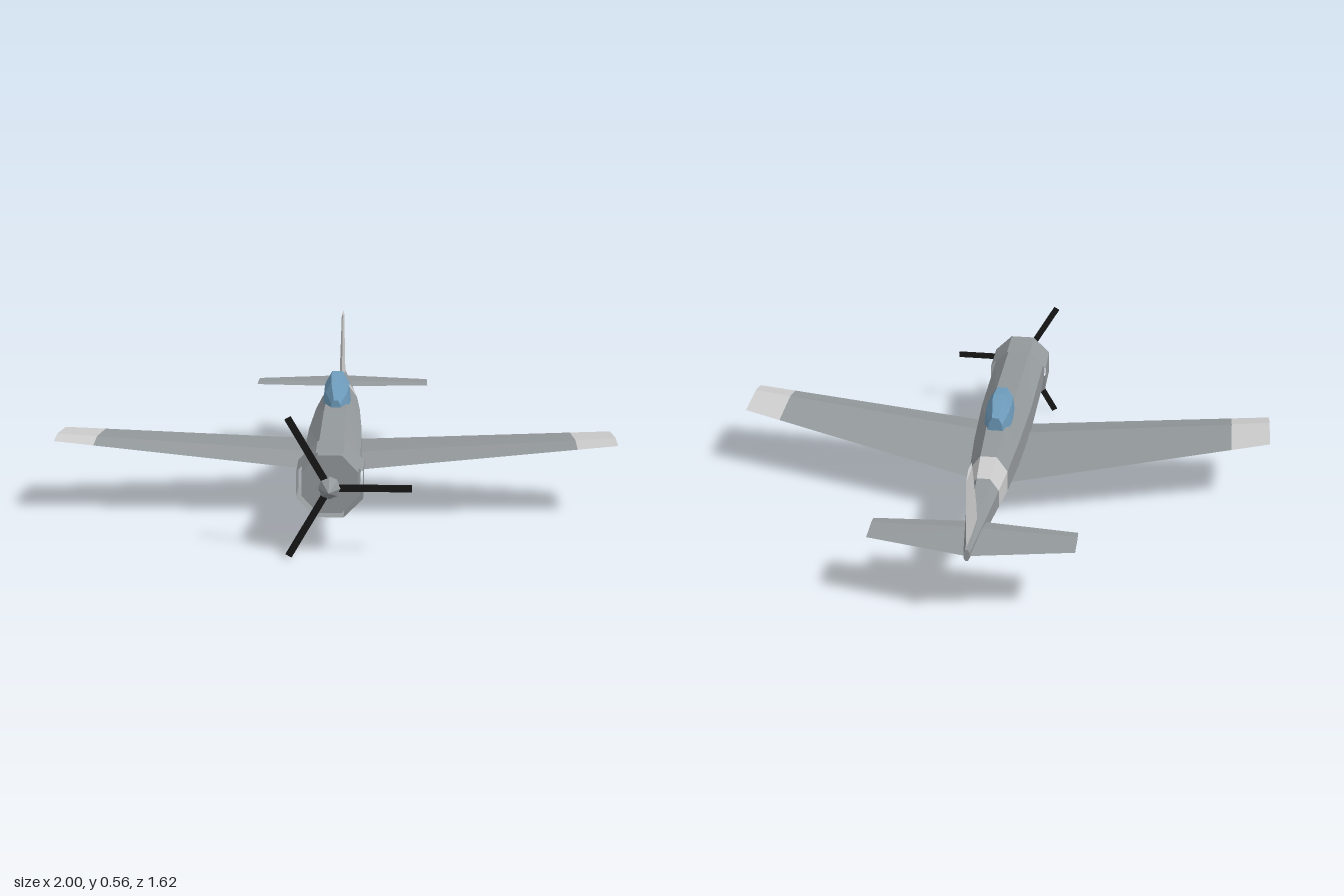
import * as THREE from 'three';

const paint = (color) => new THREE.MeshStandardMaterial({ color, flatShading: true, side: THREE.DoubleSide });

// Skin a row of matching rings of [x, y, z], close both ends, and face it outward.
function loft(rings) {
  const n = rings[0].length, tris = [];
  for (let i = 0; i < rings.length - 1; i++) {
    for (let j = 0; j < n; j++) {
      const k = (j + 1) % n, a = rings[i], b = rings[i + 1];
      tris.push([a[j], a[k], b[k]], [a[j], b[k], b[j]]);
    }
  }
  const first = rings[0], last = rings[rings.length - 1];
  for (let j = 1; j < n - 1; j++) {
    tris.push([first[0], first[j + 1], first[j]], [last[0], last[j], last[j + 1]]);
  }
  let volume = 0;
  const v = [0, 1, 2].map(() => new THREE.Vector3());
  for (const t of tris) {
    t.forEach((p, i) => v[i].fromArray(p));
    volume += v[0].dot(v[1].clone().cross(v[2]));
  }
  if (volume < 0) tris.forEach((t) => t.reverse());
  const geo = new THREE.BufferGeometry();
  geo.setAttribute('position', new THREE.Float32BufferAttribute(tris.flat(2), 3));
  geo.computeVertexNormals();
  return geo;
}

// Eight-sided body section: z, half width, top, bottom
function bodyRing([z, w, top, bottom]) {
  const h = top - bottom, c = 0.43;
  return [[c, 0], [1, 0.29], [1, 0.71], [c, 1], [-c, 1], [-1, 0.71], [-1, 0.29], [-c, 0]]
    .map(([x, y]) => [x * w, bottom + y * h, z]);
}

const mix = (a, b, t) => a.map((p, i) => p.map((q, j) => q + (b[i][j] - q) * t));
const mirror = (ring, side) => ring.map(([x, y, z]) => [x * side, y, z]);

export function createModel() {
  const model = new THREE.Group();
  const grey = paint(0x93989b), pale = paint(0xcccccc);
  const glass = paint(0x6f9dbd), black = paint(0x181818);
  const add = (name, geo, mat, parent = model) => {
    const mesh = new THREE.Mesh(geo, mat);
    mesh.name = name;
    parent.add(mesh);
    return mesh;
  };

  // Fuselage in three pieces, with a pale band ahead of the tail
  const body = [
    [0.70, 0.093, 0.342, 0.146], [0.57, 0.097, 0.353, 0.137], [0.2, 0.095, 0.373, 0.137],
    [-0.08, 0.083, 0.378, 0.15], [-0.29, 0.068, 0.367, 0.176], [-0.42, 0.054, 0.354, 0.198],
    [-0.6, 0.035, 0.34, 0.226], [-0.81, 0.01, 0.316, 0.272],
  ].map(bodyRing);
  add('fuselage', loft(body.slice(0, 5)), grey);
  add('fuselageBand', loft(body.slice(4, 6)), pale);
  add('tailCone', loft(body.slice(5)), grey);

  // Open engine cowling around the nose
  const cowl = new THREE.CylinderGeometry(0.119, 0.12, 0.148, 8, 1, true);
  cowl.rotateY(Math.PI / 8).rotateX(Math.PI / 2).translate(0, 0.246, 0.643);
  add('cowling', cowl, grey);

  // Wings and tailplane: diamond sections, tapered outward
  const wingRoot = [[0.06, 0.18, 0.3], [0.06, 0.212, 0.17], [0.06, 0.18, -0.145], [0.06, 0.148, 0.17]];
  const wingTip = [[1, 0.278, 0.3], [1, 0.29, 0.235], [1, 0.278, 0.09], [1, 0.266, 0.235]];
  const wingCap = mix(wingRoot, wingTip, 0.85);
  const tailRoot = [[0, 0.288, -0.59], [0, 0.299, -0.648], [0, 0.288, -0.805], [0, 0.277, -0.648]];
  const tailTip = [[0.35, 0.288, -0.617], [0.35, 0.293, -0.65], [0.35, 0.288, -0.738], [0.35, 0.283, -0.65]];
  for (const [label, side] of [['left', 1], ['right', -1]]) {
    const span = (...rings) => loft(rings.map((r) => mirror(r, side)));
    add(label + 'Wing', span(wingRoot, wingCap), grey);
    add(label + 'WingTip', span(wingCap, wingTip), pale);
    add(label + 'Tailplane', span(tailRoot, tailTip), grey);
  }

  // Upright fin
  add('fin', loft([
    [[0, 0.325, -0.572], [0.012, 0.325, -0.65], [0, 0.325, -0.81], [-0.012, 0.325, -0.65]],
    [[0, 0.567, -0.675], [0.005, 0.567, -0.715], [0, 0.567, -0.8], [-0.005, 0.567, -0.715]],
  ]), pale);

  // Faceted canopy: z, half width, top
  const canopyShape = [[1, 0], [0.88, 0.58], [0.4, 1], [-0.4, 1], [-0.88, 0.58], [-1, 0]];
  add('canopy', loft([
    [0.15, 0.018, 0.4], [0.08, 0.046, 0.452], [0, 0.051, 0.466], [-0.05, 0.049, 0.466], [-0.115, 0.028, 0.427],
  ].map(([z, w, top]) => canopyShape.map(([x, y]) => [x * w, 0.367 + y * (top - 0.367), z]))), glass);

  // Propeller: three blades around a pointed spinner
  const propeller = new THREE.Group();
  propeller.name = 'propeller';
  propeller.position.set(0, 0.245, 0.745);
  model.add(propeller);
  const bladeGeo = new THREE.BoxGeometry(0.265, 0.023, 0.007).translate(0.1375, 0, 0);
  for (let i = 0; i < 3; i++) {
    add('blade' + (i + 1), bladeGeo, black, propeller).rotation.z = (i * Math.PI * 2) / 3;
  }
  const spinnerProfile = [[0, -0.05], [0.025, -0.05], [0.028, -0.015], [0.036, -0.012], [0.036, 0.008], [0, 0.066]]
    .map(([r, y]) => new THREE.Vector2(r, y));
  add('spinner', new THREE.LatheGeometry(spinnerProfile, 8).rotateX(Math.PI / 2), grey, propeller);

  return model;
}
